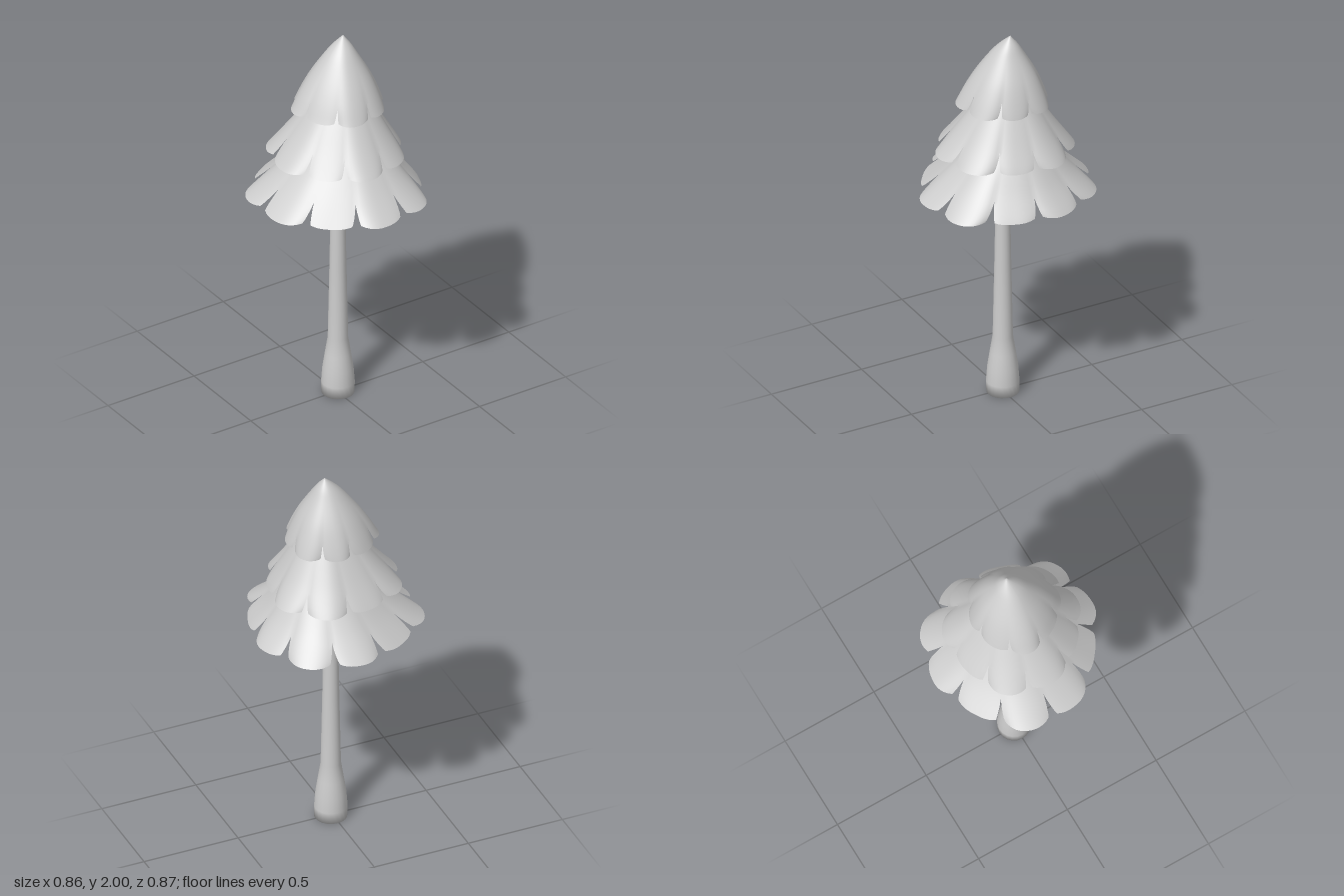
import * as THREE from 'three';
import { mergeVertices } from 'three/addons/utils/BufferGeometryUtils.js';

const ROWS = 20, COLS = 12;

// One hollow tier of foliage: lobes between slits, bulging in the middle and split near the rim.
// profile: [share of rim radius, height] from tip to rim; slits: degrees from +x towards +z;
// radii: rim radius of the lobe that follows each slit.
function tierGeometry({ profile, slits, radii, tip, slitStart, gap, dip }) {
  const curve = new THREE.SplineCurve(profile.map(p => new THREE.Vector2(...p)));
  const rad = THREE.MathUtils.degToRad;
  const n = slits.length;
  const mean = radii.reduce((s, r) => s + r, 0) / n;
  const positions = [], index = [];
  slits.forEach((a0, k) => {
    const a1 = k + 1 < n ? slits[k + 1] : slits[0] + 360;
    const base = positions.length / 3;
    for (let i = 0; i <= ROWS; i++) {
      const v = i / ROWS;
      const p = curve.getPoint(v);
      const open = gap * Math.max(0, (v - slitStart) / (1 - slitStart));
      for (let j = 0; j <= COLS; j++) {
        const u = j / COLS - 0.5;
        const edge = Math.pow(Math.abs(2 * u), 2.5) * v * v;
        const a = rad((a0 + a1) / 2 + u * (a1 - a0 - open));
        // Blend towards the neighbouring lobe so that the seams meet
        const next = radii[(k + (u < 0 ? n - 1 : 1)) % n];
        const lobe = THREE.MathUtils.lerp(radii[k], next, 2 * u * u);
        const r = p.x * THREE.MathUtils.lerp(mean, lobe, v) * (1 - dip * edge);
        positions.push(
          tip[0] * (1 - v) + r * Math.cos(a),
          p.y + 0.01 * edge,
          tip[1] * (1 - v) + r * Math.sin(a));
      }
    }
    for (let i = 0; i < ROWS; i++) {
      for (let j = 0; j < COLS; j++) {
        const a = base + i * (COLS + 1) + j, b = a + 1;
        const c = a + COLS + 1, d = c + 1;
        index.push(a, d, c);
        if (i > 0) index.push(a, b, d);
      }
    }
  });
  let geometry = new THREE.BufferGeometry();
  geometry.setAttribute('position', new THREE.Float32BufferAttribute(positions, 3));
  geometry.setIndex(index);
  geometry = mergeVertices(geometry, 1e-5);
  geometry.computeVertexNormals();
  return geometry;
}

export function createModel() {
  const group = new THREE.Group();
  const grey = new THREE.MeshStandardMaterial({ color: 0xcccccc, side: THREE.DoubleSide });
  grey.name = 'light grey';

  const add = (name, geometry) => {
    const mesh = new THREE.Mesh(geometry, grey);
    mesh.name = name;
    group.add(mesh);
    return mesh;
  };

  // Tapered trunk with a flared foot
  const trunk = [
    [0, 0], [0.081, 0], [0.082, 0.06], [0.076, 0.14], [0.064, 0.22],
    [0.05, 0.31], [0.042, 0.7], [0.034, 1.16], [0.024, 1.48], [0, 1.48],
  ].map(p => new THREE.Vector2(...p));
  add('trunk', new THREE.LatheGeometry(trunk, 20)).position.set(0.008, 0, -0.002);

  // Three overlapping skirts of foliage
  add('lowerFoliage', tierGeometry({
    profile: [[0, 1.6], [0.16, 1.54], [0.485, 1.385], [0.74, 1.262], [1, 1.155]],
    slits: [-103, -68, -33, 2, 37, 73, 109, 146, 184, 220.5],
    radii: [0.44, 0.465, 0.44, 0.41, 0.46, 0.435, 0.39, 0.43, 0.45, 0.41],
    tip: [0.08, -0.02], slitStart: 0.81, gap: 6.5, dip: 0.06,
  }));
  add('middleFoliage', tierGeometry({
    profile: [[0, 1.82], [0.18, 1.765], [0.455, 1.635], [0.745, 1.493], [1, 1.378]],
    slits: [-122, -82, -42.5, -3.5, 33, 76, 116, 153, 198],
    radii: [0.32, 0.355, 0.36, 0.32, 0.34, 0.34, 0.31, 0.335, 0.345],
    tip: [0.06, -0.02], slitStart: 0.82, gap: 6, dip: 0.07,
  }));
  add('upperFoliage', tierGeometry({
    profile: [[0, 2], [0.2, 1.95], [0.375, 1.895], [0.655, 1.795], [0.85, 1.71], [1, 1.632]],
    slits: [-143, -94, -54, -9, 31, 77, 124, 171],
    radii: [0.214, 0.224, 0.248, 0.232, 0.238, 0.232, 0.207, 0.23],
    tip: [0.05, -0.02], slitStart: 0.82, gap: 6, dip: 0.07,
  }));

  return group;
}
